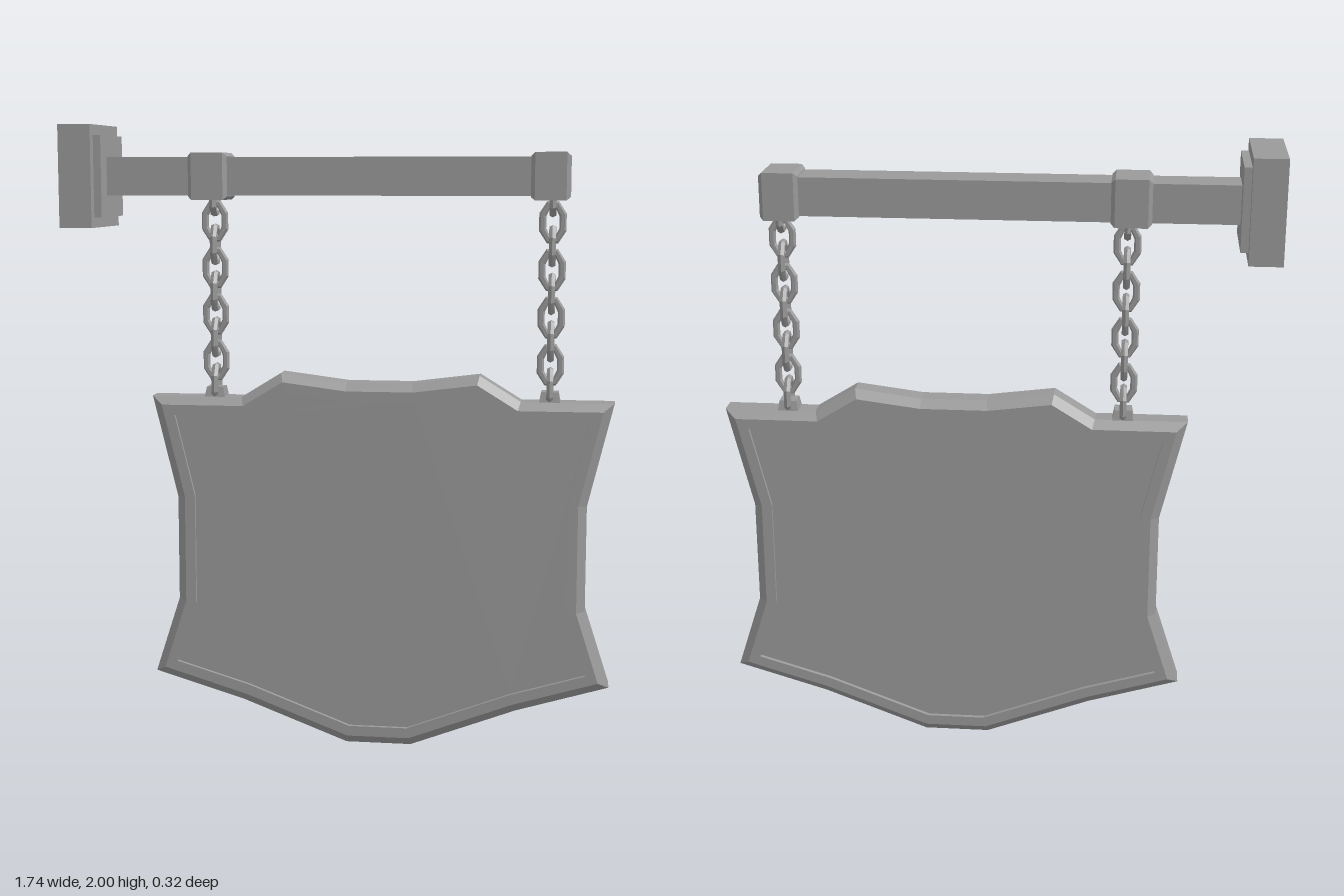
import * as THREE from 'three';

const COLOR = 0x9a9a9a;
const mat = new THREE.MeshStandardMaterial({ color: COLOR, flatShading: true });
const thinMat = new THREE.MeshStandardMaterial({ color: COLOR, flatShading: true, side: THREE.DoubleSide });

const BEAM_Y = 1.839;
const SIGN_X = 0.127;

function flat(geometry) {
  const g = geometry.index ? geometry.toNonIndexed() : geometry;
  g.computeVertexNormals();
  return g;
}

function addMesh(parent, name, geometry, material = mat) {
  const mesh = new THREE.Mesh(geometry, material);
  mesh.name = name;
  parent.add(mesh);
  return mesh;
}

// Square-section solid from [half width, position along y] pairs
function squareLathe(profile) {
  const points = profile.map(([half, t]) => new THREE.Vector2(half * Math.SQRT2, t));
  return flat(new THREE.LatheGeometry(points, 4, Math.PI / 4));
}

// The same, laid along the beam
function alongBeam(profile) {
  return squareLathe(profile).rotateZ(-Math.PI / 2).translate(0, BEAM_Y, 0);
}

// Moves every edge of a counter-clockwise outline inwards by d
function inset(outline, d) {
  const n = outline.length;
  return outline.map((p, i) => {
    const a = p.clone().sub(outline[(i + n - 1) % n]).normalize();
    const b = outline[(i + 1) % n].clone().sub(p).normalize();
    const na = new THREE.Vector2(-a.y, a.x);
    const nb = new THREE.Vector2(-b.y, b.x);
    return na.clone().add(nb).multiplyScalar(d / (1 + na.dot(nb))).add(p);
  });
}

// Bevelled board with a raised rim and a sunken panel on both faces
function boardGeometry(outline) {
  const rings = [
    [0.06, -0.042], [0.06, -0.055], [0.027, -0.055], [0, -0.032],
    [0, 0.032], [0.027, 0.055], [0.06, 0.055], [0.06, 0.042],
  ];
  const n = outline.length;
  const positions = [];
  const index = [];
  for (const [d, z] of rings) {
    for (const p of inset(outline, d)) positions.push(p.x, p.y, z);
  }
  for (let r = 0; r < rings.length - 1; r++) {
    for (let i = 0; i < n; i++) {
      const a = r * n + i;
      const b = r * n + (i + 1) % n;
      index.push(a, b, b + n, a, b + n, a + n);
    }
  }
  // Panels close the first and last rings
  const last = (rings.length - 1) * n;
  for (const [a, b, c] of THREE.ShapeUtils.triangulateShape(inset(outline, rings[0][0]), [])) {
    index.push(last + a, last + b, last + c, c, b, a);
  }
  const g = new THREE.BufferGeometry();
  g.setAttribute('position', new THREE.Float32BufferAttribute(positions, 3));
  g.setIndex(index);
  return flat(g);
}

// Eight-sided ring whose centre line is lengthened along y
function ringGeometry(radius, stretch) {
  const g = new THREE.TorusGeometry(radius, 0.012, 6, 8).rotateZ(Math.PI / 8);
  const pos = g.attributes.position;
  for (let i = 0; i < pos.count; i++) {
    const x = pos.getX(i);
    const y = pos.getY(i);
    pos.setY(i, y + stretch * y / Math.hypot(x, y));
  }
  return flat(g);
}

export function createModel() {
  const model = new THREE.Group();
  model.name = 'hangingSign';

  // Stepped wall plate, open at the back
  addMesh(model, 'wallPlate', alongBeam([
    [0.161, -0.873], [0.161, -0.769], [0.128, -0.769], [0.128, -0.745], [0.05, -0.745],
  ]), thinMat);

  // Beam and its two collars
  addMesh(model, 'beam', alongBeam([[0, -0.765], [0.06, -0.765], [0.06, 0.69], [0, 0.69]]));
  for (const [name, x0, x1] of [['innerCollar', -0.481, -0.356], ['endCollar', 0.597, 0.718]]) {
    addMesh(model, name, alongBeam([
      [0, x0], [0.063, x0], [0.074, x0 + 0.012], [0.074, x1 - 0.012], [0.063, x1], [0, x1],
    ]));
  }

  // Sign board: right half of the outline, bottom to top, then mirrored
  const half = [
    [0.105, 0.003], [0.445, 0.132], [0.74, 0.22], [0.66, 0.468], [0.66, 0.807],
    [0.74, 1.137], [0.447, 1.137], [0.317, 1.217], [0.105, 1.19],
  ];
  const outline = [
    ...half.map(([x, y]) => new THREE.Vector2(SIGN_X + x, y)),
    ...half.slice().reverse().map(([x, y]) => new THREE.Vector2(SIGN_X - x, y)),
  ];
  addMesh(model, 'signBoard', boardGeometry(outline));

  // Chains: a wide staple under the collar, links, and a mount on the board
  const staple = ringGeometry(0.039, 0);
  const link = ringGeometry(0.034, 0.025);
  const mount = squareLathe([[0, 1.13], [0.034, 1.13], [0.027, 1.168], [0, 1.168]]);
  for (const [name, x] of [['rightChain', -0.408], ['leftChain', 0.664]]) {
    const chain = new THREE.Group();
    chain.name = name;
    chain.position.x = x;
    addMesh(chain, 'chainMount', mount);
    const top = addMesh(chain, 'chainStaple', staple);
    top.position.y = 1.76;
    top.rotation.y = Math.PI / 2;
    for (let j = 1; j <= 8; j++) {
      const mesh = addMesh(chain, 'chainLink', link);
      mesh.position.y = 1.772 - 0.0743 * j;
      if (j % 2 === 0) mesh.rotation.y = Math.PI / 2;
    }
    model.add(chain);
  }

  return model;
}
